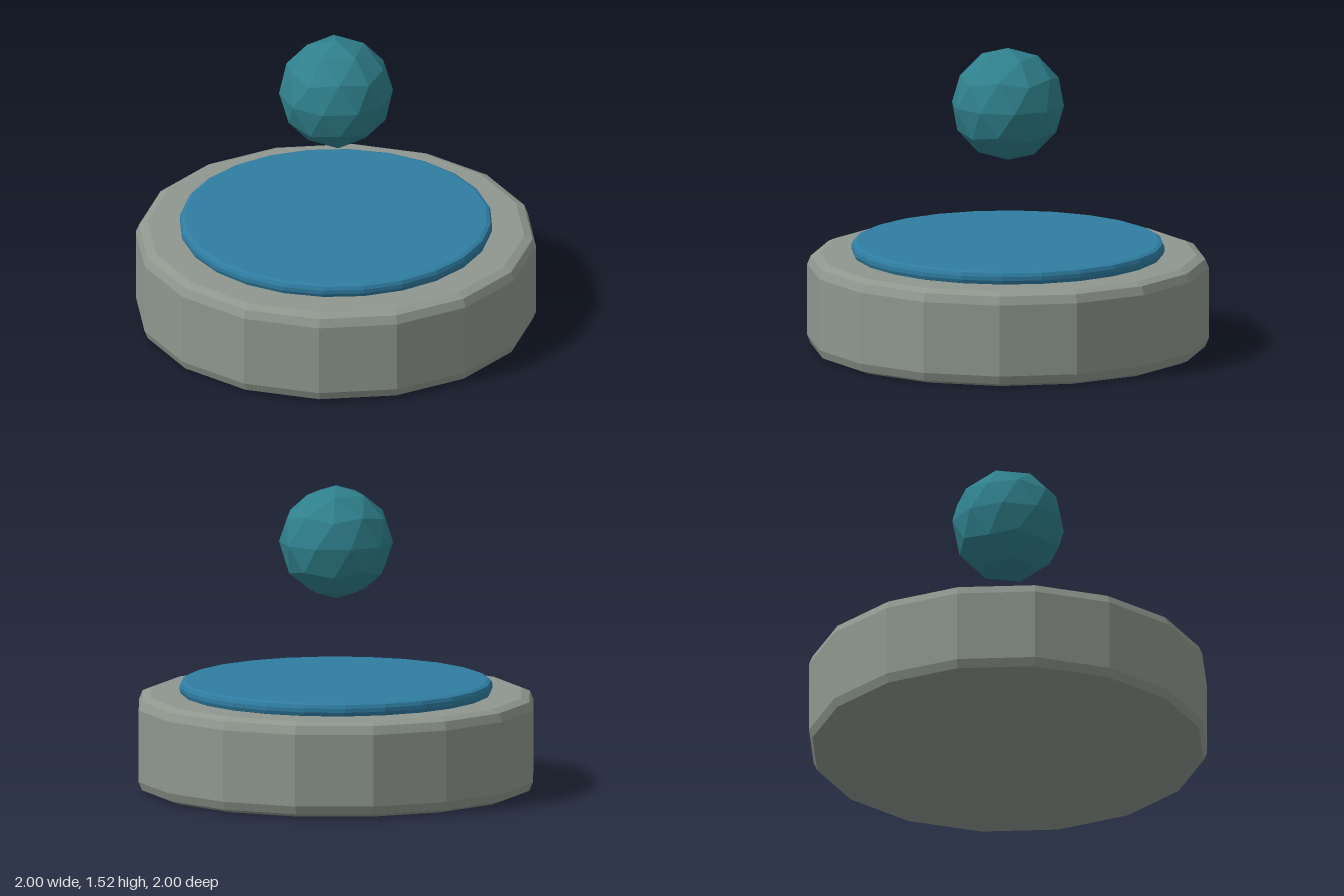
import * as THREE from 'three';

function mesh(name, geometry, color) {
  const m = new THREE.Mesh(geometry, new THREE.MeshStandardMaterial({ color, flatShading: true }));
  m.name = name;
  return m;
}

// Faceted disc with a two-step bevel on its top and bottom rims
function bevelledDisc(radius, bottom, top, bevel, sides) {
  const points = [new THREE.Vector2(0, bottom)];
  for (let i = 0; i <= 2; i++) {
    const a = (i * Math.PI) / 4;
    points.push(new THREE.Vector2(radius - bevel * (1 - Math.sin(a)), bottom + bevel * (1 - Math.cos(a))));
  }
  for (let i = 2; i >= 0; i--) {
    const a = (i * Math.PI) / 4;
    points.push(new THREE.Vector2(radius - bevel * (1 - Math.sin(a)), top - bevel * (1 - Math.cos(a))));
  }
  points.push(new THREE.Vector2(0, top));
  return new THREE.LatheGeometry(points, sides);
}

export function createModel() {
  const group = new THREE.Group();
  group.name = 'orbPedestal';

  // Stone base and the inset plate on top
  group.add(mesh('stoneBase', bevelledDisc(1, 0, 0.48, 0.06, 16), 0x8f978f));
  group.add(mesh('topPlate', bevelledDisc(0.78, 0.475, 0.545, 0.025, 24), 0x2f7da2));

  // Floating orb, turned so that a corner points straight up
  const orb = new THREE.IcosahedronGeometry(0.284, 1);
  orb.rotateZ(-Math.atan(2 / (1 + Math.sqrt(5))));
  orb.translate(0, 1.241, 0);
  group.add(mesh('floatingOrb', orb, 0x2f808c));

  return group;
}
